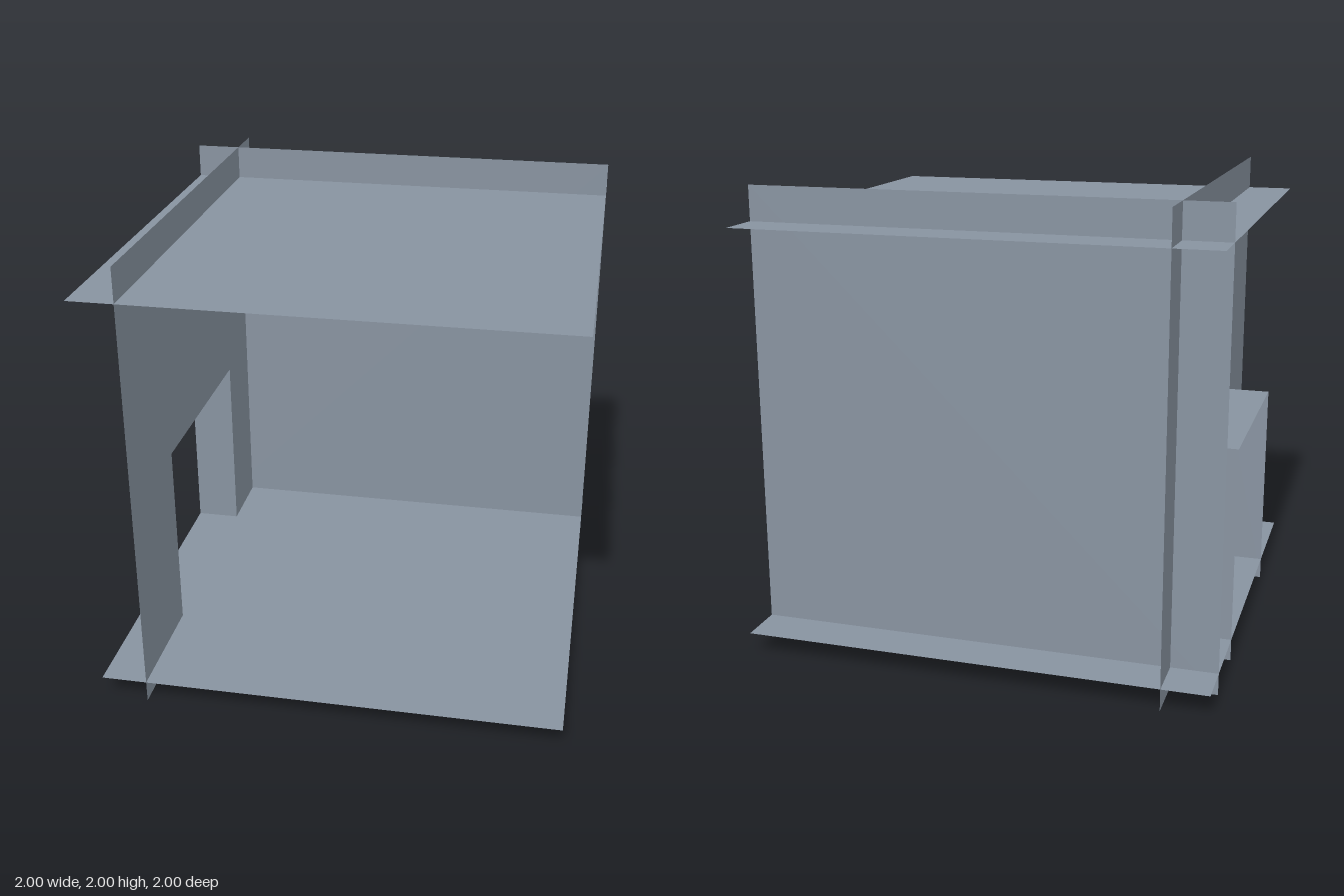
import * as THREE from 'three';

// Open room of crossing thin panels, with a recessed doorway in one wall
export function createModel() {
  const group = new THREE.Group();
  const slate = new THREE.MeshStandardMaterial({ color: 0x8893a0, side: THREE.DoubleSide });
  slate.name = 'slate grey';

  const floorY = 0.095, ceilingY = 1.85, wallX = -0.8, wallZ = -0.8;
  const doorHalf = 0.473, doorTop = 0.947, jambDepth = 0.2;

  function add(name, geometry, x, y, z) {
    const mesh = new THREE.Mesh(geometry, slate);
    mesh.name = name;
    mesh.position.set(x, y, z);
    group.add(mesh);
    return mesh;
  }

  // Floor, ceiling and back wall
  const slab = new THREE.PlaneGeometry(2, 2).rotateX(-Math.PI / 2);
  add('floor', slab, 0, floorY, 0);
  add('ceiling', slab, 0, ceilingY, 0);
  add('backWall', new THREE.PlaneGeometry(2, 2), 0, 1, wallZ);

  // Side wall with the doorway cut out down to the ground
  const outline = [
    [-1, 0], [-doorHalf, 0], [-doorHalf, doorTop], [doorHalf, doorTop],
    [doorHalf, 0], [1, 0], [1, 2], [-1, 2],
  ].map(([a, b]) => new THREE.Vector2(a, b));
  const wall = new THREE.ShapeGeometry(new THREE.Shape(outline)).rotateY(Math.PI / 2);
  add('doorWall', wall, wallX, 0, 0);

  // Door lining, projecting outward from the wall
  const liningX = wallX - jambDepth / 2;
  const jamb = new THREE.PlaneGeometry(jambDepth, doorTop);
  add('frontJamb', jamb, liningX, doorTop / 2, doorHalf);
  add('backJamb', jamb, liningX, doorTop / 2, -doorHalf);
  const lintel = new THREE.PlaneGeometry(jambDepth, doorHalf * 2).rotateX(-Math.PI / 2);
  add('lintel', lintel, liningX, doorTop, 0);

  return group;
}
